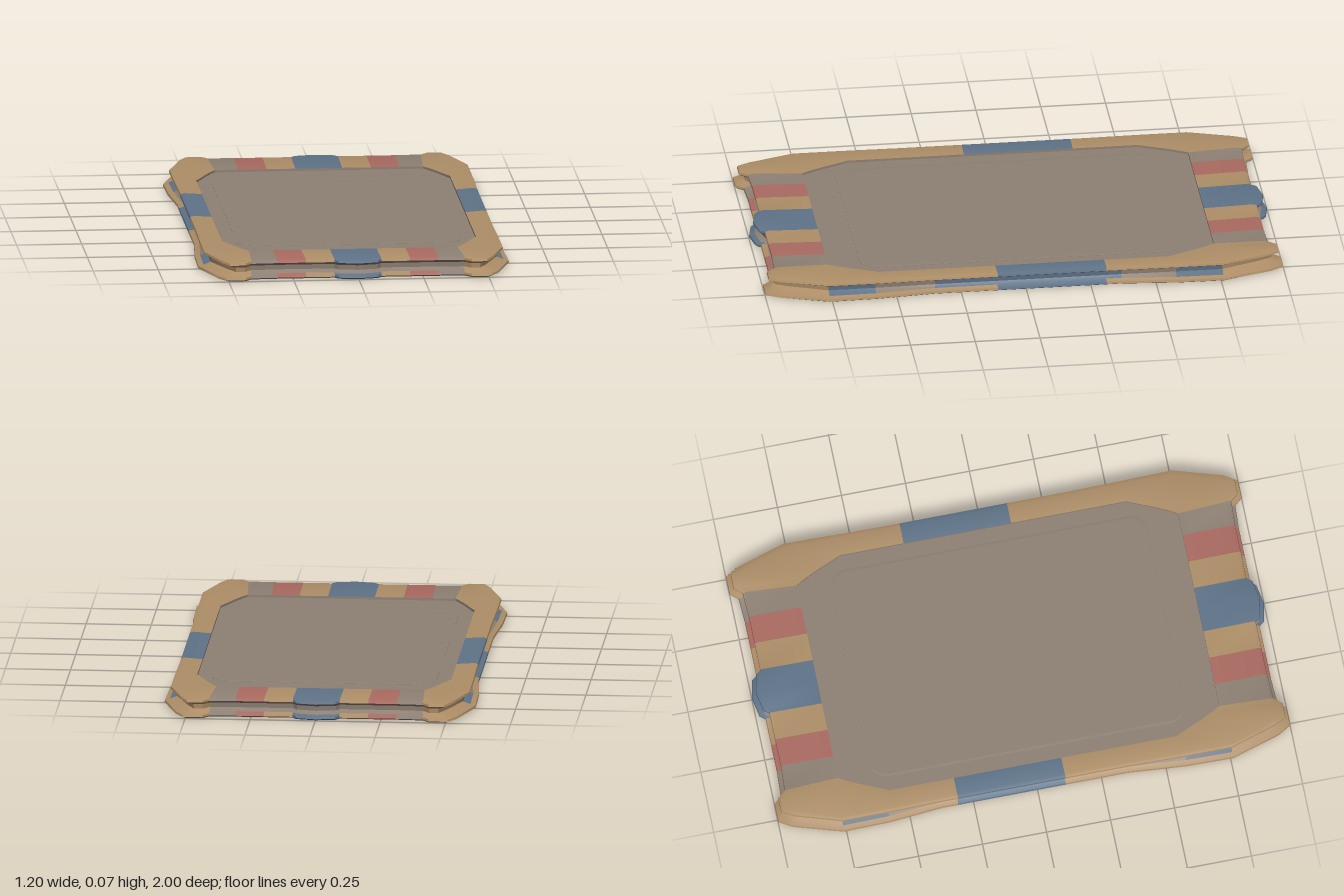
import * as THREE from 'three';
import { toCreasedNormals } from 'three/addons/utils/BufferGeometryUtils.js';

const make = (name, hex) => {
  const m = new THREE.MeshStandardMaterial({ color: hex });
  m.name = name;
  return m;
};

// Colour indices
const TAN = 0, GREY = 1, BLUE = 2, RED = 3;

// Stations from the front centre to the side:
// outer x, z, inner x, z, rim colour, wall colour (of the segment that follows), extra width at the base
const quarter = [
  [0.00, 0.985, 0.00, 0.745, BLUE, GREY, 0],
  [0.075, 0.97, 0.075, 0.745, BLUE, GREY, 0],
  [0.09, 0.95, 0.09, 0.745, TAN, GREY, 0],
  [0.20, 0.95, 0.20, 0.745, RED, GREY, 0],
  [0.31, 0.95, 0.31, 0.745, GREY, GREY, 0],
  [0.41, 0.955, 0.40, 0.745, TAN, TAN, 0],
  [0.435, 0.985, 0.415, 0.72, TAN, TAN, 0],
  [0.495, 0.985, 0.43, 0.69, TAN, TAN, 0.01],
  [0.52, 0.935, 0.44, 0.67, TAN, TAN, 0.015],
  [0.575, 0.76, 0.47, 0.60, TAN, BLUE, 0.018],
  [0.575, 0.58, 0.488, 0.56, TAN, GREY, 0.015],
];
const side = [
  [0.572, 0.35, 0.488, 0.35, TAN, BLUE, 0],
  [0.572, 0.11, 0.488, 0.11, BLUE, BLUE, 0],
  [0.572, -0.31, 0.488, -0.31, TAN, BLUE, 0],
  [0.572, -0.37, 0.488, -0.37, TAN, GREY, 0],
];

// Reverses a run of stations across an axis, moving each colour to the matching segment
function mirrorRun(run, sx, sz, lastColours) {
  return run.map((s, i) => {
    const c = i > 0 ? run[i - 1] : lastColours;
    return [s[0] * sx, s[1] * sz, s[2] * sx, s[3] * sz, c[4], c[5], s[6]];
  }).reverse();
}

function ringStations() {
  const half = [...quarter, ...side, ...mirrorRun(quarter, 1, -1, quarter[0])];
  const mirrored = mirrorRun(half, -1, 1, half[0]);
  // The centre stations are shared; the back one takes the colours of the mirrored side
  return [...half.slice(0, -1), ...mirrored.slice(0, -1)];
}

// Cross-section of the frame at one station, from the inner top edge round to the inner bottom edge
function crossSection([x, z, ix, iz, , , wide]) {
  const sx = Math.sign(x), sz = Math.sign(z);
  const isEnd = Math.abs(z) > 0.9, isSide = Math.abs(x) > 0.45;
  const out = (d, y) => [x + (isSide ? sx * d : 0), y, z + (isEnd ? sz * d : 0)];
  const base = (d, y) => {
    const p = out(d, y);
    p[0] += sx * wide;
    if (isEnd) p[2] += sz * 0.01;
    return p;
  };
  return [
    [ix, 0.067, iz], out(-0.015, 0.072), out(-0.002, 0.068), out(0, 0.060), out(-0.008, 0.055),
    out(-0.024, 0.048), out(-0.026, 0.030), base(-0.016, 0.019),
    base(0.003, 0.014), base(0.005, 0.006), base(-0.005, 0), [ix, 0, iz],
  ];
}

function frameGeometry(stations) {
  const buckets = [[], [], [], []];
  const sections = stations.map(crossSection);
  const n = sections.length;
  for (let i = 0; i < n; i++) {
    const A = sections[i], B = sections[(i + 1) % n], m = A.length;
    for (let j = 0; j < m; j++) {
      const k = (j + 1) % m;
      const isWall = j >= 4 && j <= 6;
      const colour = j === m - 1 ? GREY : stations[i][isWall ? 5 : 4];
      buckets[colour].push(...A[j], ...A[k], ...B[k], ...A[j], ...B[k], ...B[j]);
    }
  }
  const geo = new THREE.BufferGeometry();
  geo.setAttribute('position', new THREE.Float32BufferAttribute(buckets.flat(), 3));
  let start = 0;
  buckets.forEach((b, c) => {
    geo.addGroup(start, b.length / 3, c);
    start += b.length / 3;
  });
  return toCreasedNormals(geo, 0.6);
}

// Extrudes a plan shape upward from height y
function slab(shape, y, depth, bevel = 0) {
  const geo = new THREE.ExtrudeGeometry(shape, {
    depth, bevelEnabled: bevel > 0, bevelSize: bevel, bevelThickness: 0.001, bevelSegments: 1, curveSegments: 5,
  });
  geo.rotateX(-Math.PI / 2);
  geo.translate(0, y, 0);
  return geo;
}

function roundedRect(w, h, r) {
  const s = new THREE.Shape();
  s.absarc(w - r, h - r, r, 0, Math.PI / 2);
  s.absarc(-w + r, h - r, r, Math.PI / 2, Math.PI);
  s.absarc(-w + r, -h + r, r, Math.PI, Math.PI * 1.5);
  s.absarc(w - r, -h + r, r, Math.PI * 1.5, Math.PI * 2);
  return s;
}

export function createModel() {
  const group = new THREE.Group();
  group.name = 'framedTablet';
  const materials = [
    make('tan', 0xae8e67), make('grey', 0x8e8074), make('blue', 0x5f7388), make('red', 0xaa6a60),
  ];
  const add = (name, geo, mat) => {
    const mesh = new THREE.Mesh(geo, mat);
    mesh.name = name;
    group.add(mesh);
  };

  // Grooved frame with coloured bands
  const stations = ringStations();
  add('frame', frameGeometry(stations), materials);

  // Recessed centre panel filling the frame opening
  const outline = new THREE.Shape(stations.map((s) => new THREE.Vector2(s[2], -s[3])));
  add('panel', slab(outline, 0.032, 0.026), materials[GREY]);

  // Slightly raised field on both faces of the panel
  const field = roundedRect(0.42, 0.61, 0.06);
  add('upperField', slab(field, 0.058, 0.001, 0.01), materials[GREY]);
  add('lowerField', slab(field, 0.031, 0.001, 0.01), materials[GREY]);
  return group;
}
